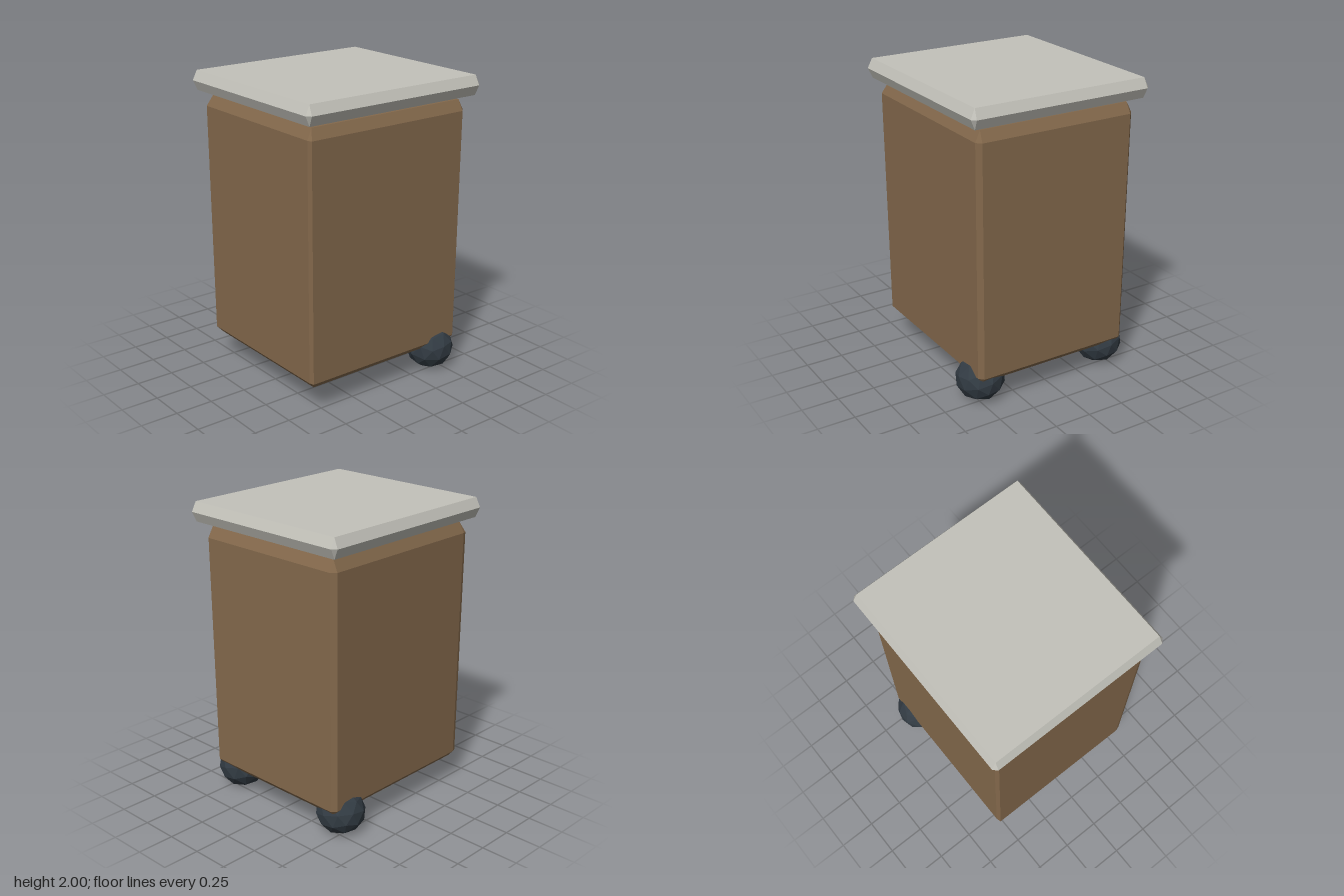
import * as THREE from 'three';
import { ConvexGeometry } from 'three/addons/geometries/ConvexGeometry.js';

const mat = (name, color) => {
  const m = new THREE.MeshStandardMaterial({ color, flatShading: true });
  m.name = name;
  return m;
};

// Box with cut edges; edgeCut(sx, sz) gives the vertical edge bevel, capInset the inset of top and bottom faces
function bevelBox(hx, hz, y0, y1, cutLow, cutHigh, capInset, edgeCut, taper = 0) {
  const pts = [];
  for (const sx of [-1, 1]) for (const sz of [-1, 1]) for (const top of [false, true]) {
    const [dx, dz] = edgeCut(sx, sz);
    const x = hx - (top ? 0 : taper), z = hz - (top ? 0 : taper);
    const y = top ? y1 - cutHigh : y0 + cutLow;
    pts.push(
      new THREE.Vector3(sx * (x - dx), y, sz * z),
      new THREE.Vector3(sx * x, y, sz * (z - dz)),
      new THREE.Vector3(sx * (x - capInset), top ? y1 : y0, sz * (z - capInset)),
    );
  }
  return new ConvexGeometry(pts);
}

export function createModel() {
  const group = new THREE.Group();
  const brown = mat('brown body', 0x84694c);
  const grey = mat('pale grey lid', 0xc3c2ba);
  const dark = mat('dark wheel', 0x323b43);
  const add = (name, geometry, material) => {
    const mesh = new THREE.Mesh(geometry, material);
    mesh.name = name;
    group.add(mesh);
    return mesh;
  };

  // Tall bin body, slightly narrower at the foot
  const bodyCut = (sx, sz) => (sz < 0 ? [0.03, 0.03] : sx > 0 ? [0.03, 0.01] : [0.01, 0.03]);
  add('body', bevelBox(0.56, 0.613, 0.18, 1.84, 0.04, 0.07, 0.035, bodyCut, 0.008), brown);

  // Lid floating just above the body, its rim pointed at mid height
  add('lid', bevelBox(0.628, 0.677, 1.87, 2, 0.066, 0.064, 0.03, () => [0.025, 0.025]), grey);

  // Two faceted ball wheels under the back corners
  for (const [name, side] of [['leftWheel', 1], ['rightWheel', -1]]) {
    const ball = new THREE.IcosahedronGeometry(0.16, 1);
    ball.rotateZ(0.3).rotateX(0.15).scale(1, 0.94, 1);
    ball.computeBoundingBox();
    ball.translate(0, -ball.boundingBox.min.y + 0.004, 0);
    add(name, ball, dark).position.set(side * 0.463, 0, -0.45);
  }
  return group;
}
